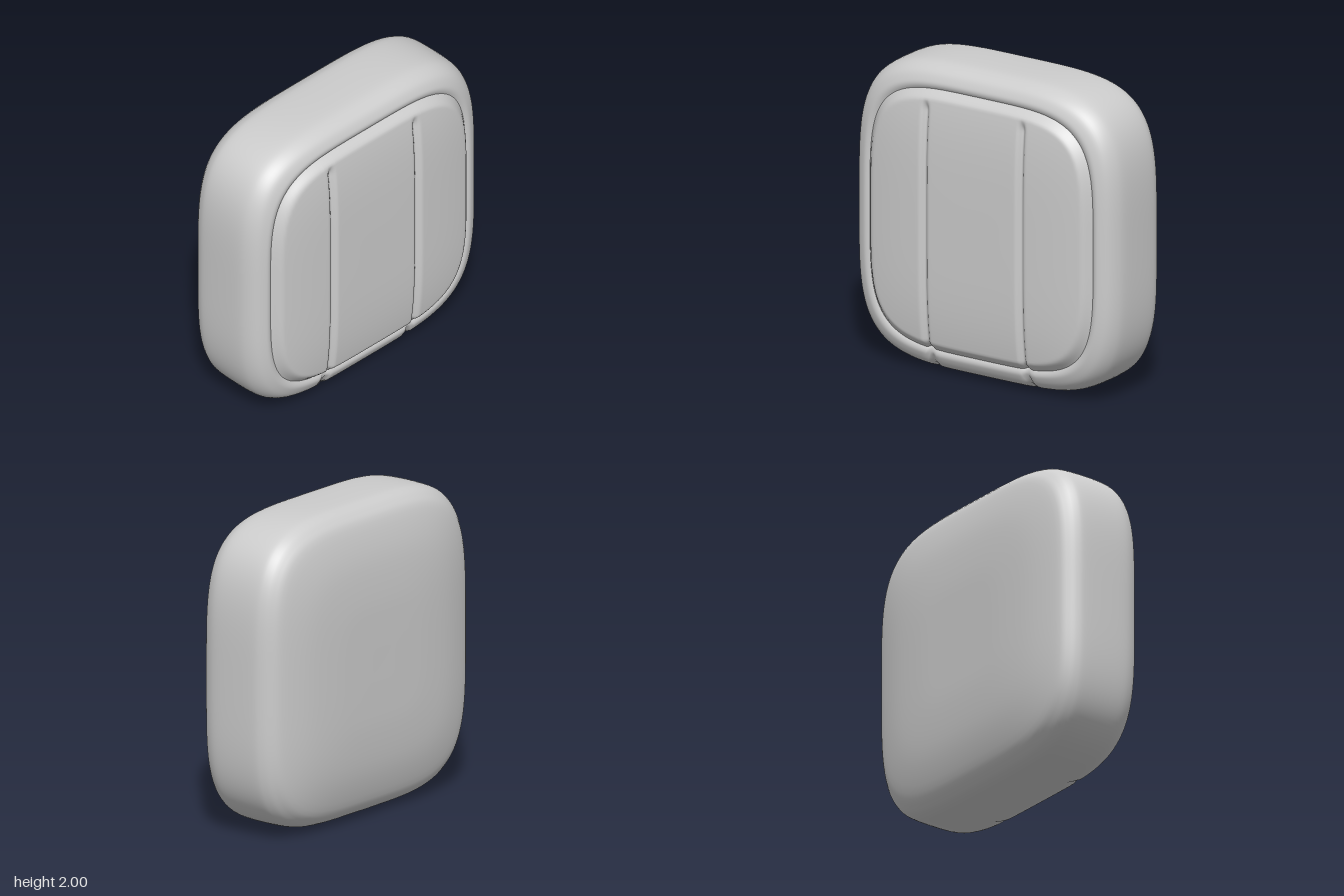
import * as THREE from 'three';

const HALF_W = 0.985, POWER = 4.2;
const smooth = THREE.MathUtils.smoothstep;

// Radius of the rounded-square outline in direction a
const radius = (a) =>
  Math.pow(Math.abs(Math.cos(a)) ** POWER + Math.abs(Math.sin(a)) ** POWER, -1 / POWER);

// Strength (0..1) of the two vertical stitched grooves
const groove = (x) =>
  Math.exp(-(((x + 0.375) / 0.021) ** 2)) + Math.exp(-(((x - 0.345) / 0.021) ** 2));

function surface(positions, index) {
  const g = new THREE.BufferGeometry();
  g.setAttribute('position', new THREE.Float32BufferAttribute(positions, 3));
  g.setIndex(index);
  g.computeVertexNormals();
  return g;
}

// Cushion body: outline rings scaled along a front-to-back profile (scale, z)
function bodyGeometry() {
  const profile = new THREE.SplineCurve([
    [0.8, 0.25], [0.84, 0.282], [0.87, 0.296], [0.9, 0.29], [0.945, 0.262], [0.978, 0.21],
    [0.995, 0.14], [1, 0], [0.996, -0.14], [0.982, -0.2], [0.95, -0.25], [0.88, -0.3],
    [0.68, -0.35], [0.43, -0.372], [0.2, -0.375], [0, -0.375],
  ].map(([s, z]) => new THREE.Vector2(s, z))).getPoints(60);
  const n = 240, pos = [], idx = [];
  profile.forEach((p, j) => {
    for (let i = 0; i < n; i++) {
      const a = (i / n) * Math.PI * 2;
      const r = p.x * radius(a);
      const x = HALF_W * r * Math.cos(a), y = 1 + r * Math.sin(a);
      // grooves run on over the lower front edge
      const g = groove(x) * (y < 0.3 ? smooth(p.y, 0.13, 0.25) : 0);
      pos.push(x, y + 0.015 * g, p.y - 0.02 * g);
      if (j < profile.length - 1) {
        const k = j * n + i, l = j * n + ((i + 1) % n);
        idx.push(k, k + n, l, l, k + n, l + n);
      }
    }
  });
  return surface(pos, idx);
}

// Front panel: domed sheet with a rolled rim and two vertical grooves
function panelGeometry() {
  const edge = 0.865, rows = 90, xs = [];
  for (let i = 0; i <= 100; i++) {
    const a = Math.PI * (1 - i / 100);
    xs.push(edge * HALF_W * radius(a) * Math.cos(a));
  }
  for (const c of [-0.375, 0.345]) for (let d = -8; d <= 8; d++) xs.push(c + d * 0.0063);
  xs.sort((a, b) => a - b);
  const pos = [], idx = [];
  xs.forEach((x, i) => {
    const u = Math.min(1, Math.abs(x / (HALF_W * edge)));
    const h = edge * Math.pow(Math.max(0, 1 - u ** POWER), 1 / POWER);
    for (let j = 0; j <= rows; j++) {
      const dy = h * Math.sin((j / rows - 0.5) * Math.PI);
      const s = Math.pow(Math.abs(x / HALF_W) ** POWER + Math.abs(dy) ** POWER, 1 / POWER);
      const g = groove(x) * (1 - smooth(1 + dy, 1.71, 1.79));
      const z = 0.376 - 0.034 * (s / 0.8) ** 4 - 0.055 * smooth(s, 0.79, edge) - 0.028 * g;
      pos.push(x, 1 + dy, z);
      if (i < xs.length - 1 && j < rows) {
        const k = i * (rows + 1) + j, l = k + rows + 1;
        idx.push(k, l, k + 1, k + 1, l, l + 1);
      }
    }
  });
  return surface(pos, idx);
}

export function createModel() {
  const group = new THREE.Group();
  group.name = 'cushion';
  const fabric = new THREE.MeshStandardMaterial({ color: 0xcccccc });
  fabric.name = 'light grey fabric';
  const add = (name, geometry) => {
    const mesh = new THREE.Mesh(geometry, fabric);
    mesh.name = name;
    group.add(mesh);
  };
  add('cushionBody', bodyGeometry());
  add('frontPanel', panelGeometry());
  return group;
}
